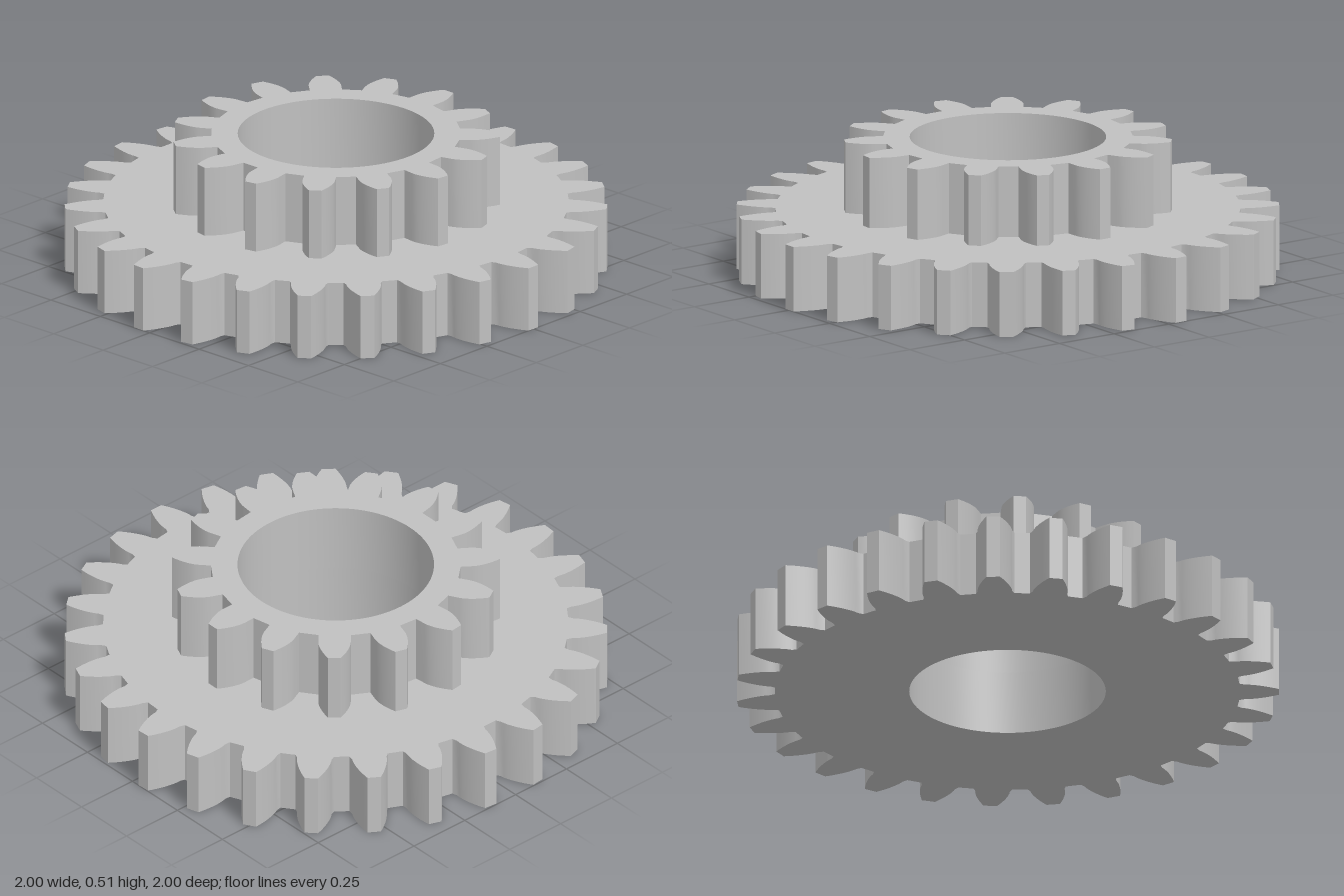
import * as THREE from 'three';
import { toCreasedNormals } from 'three/addons/utils/BufferGeometryUtils.js';

const BORE = 0.362;
const PRESSURE = THREE.MathUtils.degToRad(20);
const involute = (a) => Math.tan(a) - a;

// Closed outline of a spur gear with involute flanks; one tooth is centred on angle `phase`.
function gearShape({ teeth, tip, root, phase }) {
  const pitch = (tip * teeth) / (teeth + 2);
  const base = pitch * Math.cos(PRESSURE);
  const halfAngle = (r) =>
    Math.PI / (2 * teeth) + involute(PRESSURE) - involute(Math.acos(Math.min(1, base / r)));

  // Half tooth from root to tip as [radius, half angle], flaring slightly at the foot
  const flank = [[root, halfAngle(base) + 0.01]];
  const steps = 8;
  for (let i = 0; i <= steps; i++) {
    const r = base + (tip - base) * (i / steps);
    flank.push([r, halfAngle(r)]);
  }

  const points = [];
  const add = (r, a) => points.push(new THREE.Vector2(r * Math.cos(a), r * Math.sin(a)));
  for (let t = 0; t < teeth; t++) {
    const centre = phase + (t * 2 * Math.PI) / teeth;
    flank.forEach(([r, h]) => add(r, centre - h));
    [...flank].reverse().forEach(([r, h]) => add(r, centre + h));
  }
  return new THREE.Shape(points);
}

// Upright gear with a round bore through it
function makeGear(name, spec, bottom, top, material) {
  const shape = gearShape(spec);
  shape.holes.push(new THREE.Path().absarc(0, 0, BORE, 0, Math.PI * 2, true));
  const extruded = new THREE.ExtrudeGeometry(shape, {
    depth: top - bottom,
    bevelEnabled: false,
    curveSegments: 72,
  });
  extruded.rotateX(-Math.PI / 2);
  extruded.translate(0, bottom, 0);
  const mesh = new THREE.Mesh(toCreasedNormals(extruded, 0.45), material);
  mesh.name = name;
  return mesh;
}

export function createModel() {
  const metal = new THREE.MeshStandardMaterial({ color: 0xc0c0c0 });
  metal.name = 'light grey metal';

  const model = new THREE.Group();
  model.name = 'doubleGear';
  model.add(
    // Wide lower gear
    makeGear('largeGear', { teeth: 27, tip: 1, root: 0.857, phase: 0 }, 0, 0.245, metal),
    // Narrow upper gear, one tooth pointing to the back
    makeGear('smallGear', { teeth: 15, tip: 0.605, root: 0.46, phase: Math.PI / 2 }, 0.245, 0.512, metal),
  );
  return model;
}
